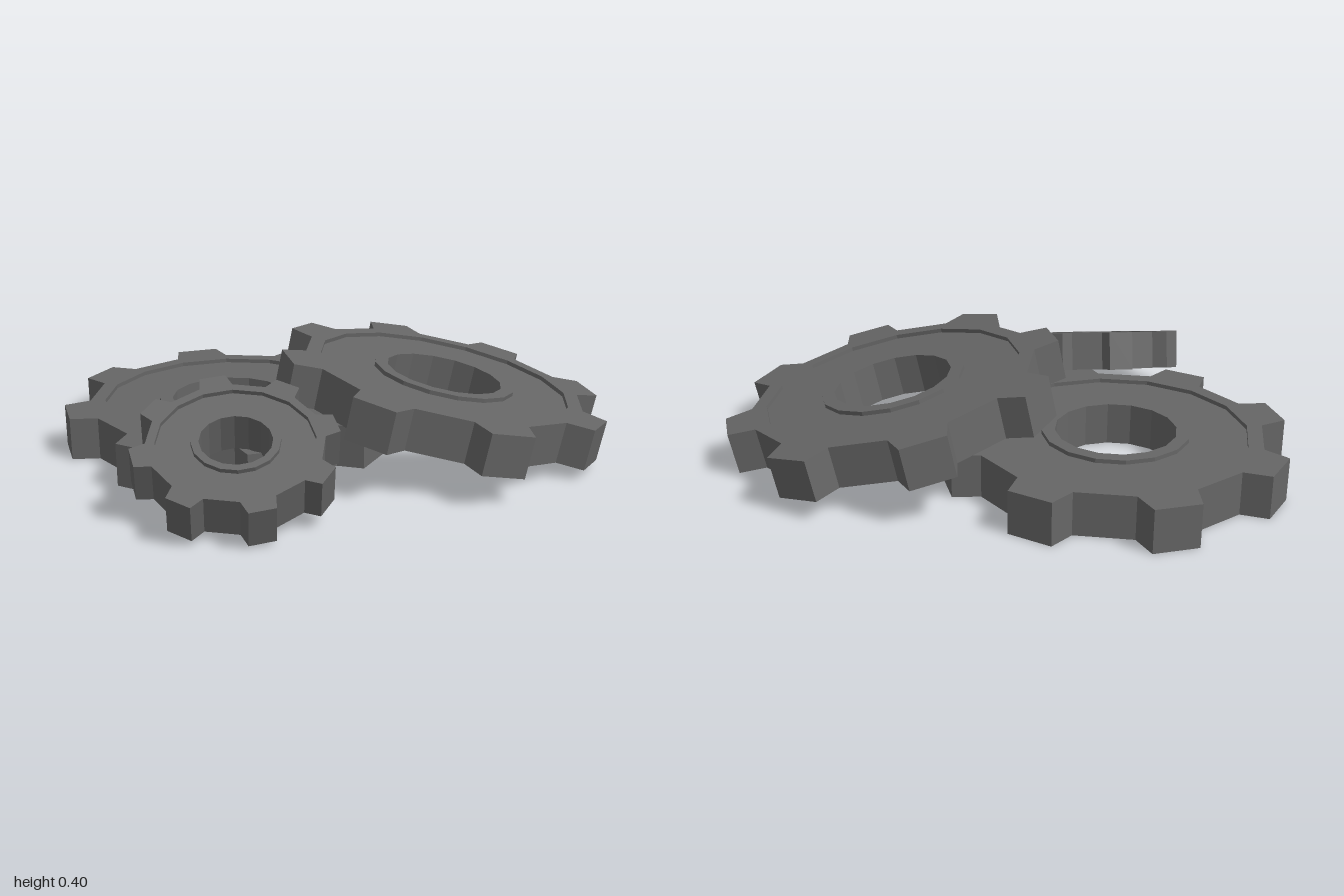
import * as THREE from 'three';

const STEP = Math.PI / 8; // 16 sides: each tooth takes one, each gap the next
const TEETH = 8;

function flat(geometry) {
  const g = geometry.index ? geometry.toNonIndexed() : geometry;
  g.computeVertexNormals();
  return g;
}

// Gear lying in the xz plane, centred on its own middle; s scales the radii
function makeGear(name, s, height, material) {
  const gear = new THREE.Group();
  gear.name = name;
  const h = height / 2, d = h - 0.015;

  // Disc: closed cross-section with a shallow ring-shaped recess on both faces
  const profile = [
    [0.52, -h], [0.52, h], [0.466, h], [0.466, d], [0.262, d], [0.262, h],
    [0.215, h], [0.215, -h], [0.262, -h], [0.262, -d], [0.466, -d], [0.466, -h], [0.52, -h],
  ].map(([r, y]) => new THREE.Vector2(r * s, y));
  const disc = new THREE.Mesh(flat(new THREE.LatheGeometry(profile, 16)), material);
  disc.name = 'gearDisc';
  gear.add(disc);

  // Teeth: tapered blocks standing on alternate sides of the disc
  const polar = (r, a) => new THREE.Vector2(r * s * Math.cos(a), r * s * Math.sin(a));
  const inset = STEP / 6;
  const shape = new THREE.Shape([
    polar(0.52, 0), polar(0.613, inset), polar(0.613, STEP - inset), polar(0.52, STEP),
  ]);
  const toothGeometry = new THREE.ExtrudeGeometry(shape, { depth: height, bevelEnabled: false });
  toothGeometry.rotateX(-Math.PI / 2).translate(0, -h, 0);
  const tooth = flat(toothGeometry);
  for (let i = 0; i < TEETH; i++) {
    const mesh = new THREE.Mesh(tooth, material);
    mesh.name = 'gearTooth';
    mesh.rotation.y = i * 2 * STEP;
    gear.add(mesh);
  }
  return gear;
}

export function createModel() {
  const model = new THREE.Group();
  model.name = 'gears';
  const steel = new THREE.MeshStandardMaterial({ color: 0x666666 });
  steel.name = 'darkSteel';

  // Large gear lying flat
  const flatGear = makeGear('flatGear', 1, 0.155, steel);
  flatGear.position.set(-0.387, 0.0775, -0.22);

  // Large gear leaning down to the left side
  const leaningGear = makeGear('leaningGear', 1, 0.15, steel);
  leaningGear.position.set(0.383, 0.204, -0.027);
  leaningGear.rotation.z = THREE.MathUtils.degToRad(-11.7);

  // Small gear leaning down to the front
  const smallGear = makeGear('smallGear', 0.56, 0.14, steel);
  smallGear.position.set(-0.387, 0.187, 0.48);
  smallGear.rotation.x = THREE.MathUtils.degToRad(19.5);

  model.add(flatGear, leaningGear, smallGear);
  return model;
}
